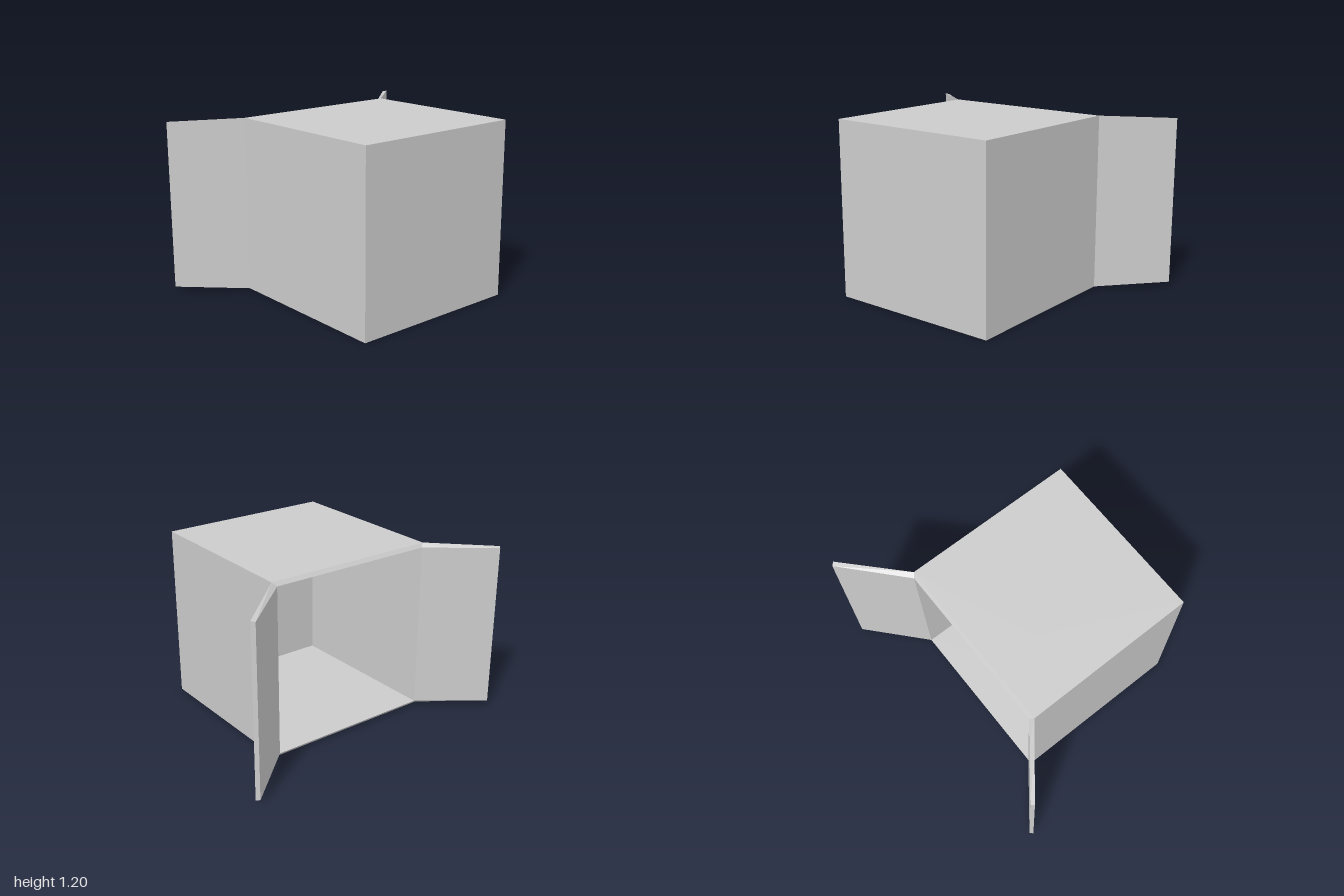
import * as THREE from 'three';

// Box corners: sx, sy pick the side; front or back end; outer or inner skin
function corner(sx, sy, front, inner) {
  const t = inner ? 0.025 : 0;
  const x = front ? (sx > 0 ? 0.61 : -0.597) : (sx > 0 ? 0.613 : -0.6);
  const y = front ? (sy > 0 ? 1.207 : 0.003) : (sy > 0 ? 1.2 : 0.01);
  const z = front ? 0.78 - t : inner ? -0.43 : -0.41;
  return new THREE.Vector3(x - sx * t, y - sy * t, z);
}

// Point on a four-cornered skin: corners at (0,0), (1,0), (1,1), (0,1)
function skinPoint([a, b, c, d], [u, v]) {
  const low = a.clone().lerp(b, u);
  const high = d.clone().lerp(c, u);
  return low.lerp(high, v);
}

// Solid shard: a polygon in panel space, spanning the outer and inner skins
function shardGeometry(outer, inner, outline) {
  const pts = outline.map(([u, v]) => new THREE.Vector2(u, v));
  if (THREE.ShapeUtils.isClockWise(pts)) pts.reverse();
  const o = pts.map((p) => skinPoint(outer, [p.x, p.y]));
  const n = pts.map((p) => skinPoint(inner, [p.x, p.y]));
  const tris = [];
  for (const [i, j, k] of THREE.ShapeUtils.triangulateShape(pts, [])) {
    tris.push([o[i], o[j], o[k]], [n[i], n[k], n[j]]);
  }
  o.forEach((p, i) => {
    const j = (i + 1) % o.length;
    tris.push([n[i], n[j], o[j]], [n[i], o[j], p]);
  });
  // Turn the faces outward whichever way the panel's corners run
  const across = outer[1].clone().sub(outer[0]);
  const along = outer[3].clone().sub(outer[0]);
  const middle = [0.5, 0.5];
  const outward = skinPoint(outer, middle).sub(skinPoint(inner, middle));
  const flip = across.cross(along).dot(outward) < 0;
  const points = tris.flatMap(([a, b, c]) => (flip ? [a, c, b] : [a, b, c]));
  const geometry = new THREE.BufferGeometry().setFromPoints(points);
  geometry.computeVertexNormals();
  return geometry;
}

export function createModel() {
  const model = new THREE.Group();
  model.name = 'brokenOpenBox';
  const material = new THREE.MeshStandardMaterial({ color: 0xcccccc, flatShading: true });

  function addPanel(name, outer, inner, shards) {
    const panel = new THREE.Group();
    panel.name = name;
    shards.forEach((outline, i) => {
      const mesh = new THREE.Mesh(shardGeometry(outer, inner, outline), material);
      mesh.name = `${name}Shard${i + 1}`;
      panel.add(mesh);
    });
    model.add(panel);
  }

  // Box panel from four [sx, sy, front] corners
  const addBoxPanel = (name, corners, shards) => addPanel(
    name,
    corners.map((c) => corner(...c, false)),
    corners.map((c) => corner(...c, true)),
    shards,
  );

  // Front wall, cracked straight across
  addBoxPanel('frontWall', [[-1, -1, true], [1, -1, true], [1, 1, true], [-1, 1, true]], [
    [[0, 0], [1, 0], [1, 0.6], [0, 0.6]],
    [[0, 0.6], [1, 0.6], [1, 1], [0, 1]],
  ]);

  // Side walls: u runs back to front, v runs up
  const sideCorners = (sx) => [[sx, -1, false], [sx, -1, true], [sx, 1, true], [sx, 1, false]];
  const knotA = [0.7, 0.61];
  const knotB = [0.16, 0.26];
  addBoxPanel('leftWall', sideCorners(1), [
    [[1, 0.6], [1, 1], [0.63, 1], knotA],
    [[0.63, 1], [0, 1], [0, 0.24], knotB, knotA],
    [[1, 0.6], knotA, knotB, [0.39, 0], [1, 0]],
    [[0.39, 0], knotB, [0, 0.24], [0, 0]],
  ]);
  const knotR = [0.86, 0.6];
  addBoxPanel('rightWall', sideCorners(-1), [
    [[0, 0], [0.71, 0], knotR, [0.525, 1], [0, 1]],
    [knotR, [1, 0.6], [1, 1], [0.525, 1]],
    [[0.71, 0], [1, 0], [1, 0.6], knotR],
  ]);

  // Roof and floor: u runs right to left, v runs back to front
  const flatCorners = (sy) => [[-1, sy, false], [1, sy, false], [1, sy, true], [-1, sy, true]];
  const knotC = [0.34, 0.27];
  const knotD = [0.35, 0.25];
  addBoxPanel('roof', flatCorners(1), [
    [[0, 0.525], [0, 1], [1, 1], [1, 0.63], knotC],
    [[0, 0], [0, 0.525], knotC, knotD, [0.32, 0]],
    [[0.32, 0], knotD, [0.81, 0]],
    [[0.81, 0], knotD, knotC, [1, 0.63], [1, 0]],
  ]);
  const knotF = [0.25, 0.52];
  addBoxPanel('floor', flatCorners(-1), [
    [[0, 0.71], [0, 1], [1, 1], [1, 0.39], knotF],
    [[0, 0], [0, 0.71], knotF, [0.65, 0]],
    [[0.65, 0], knotF, [1, 0.39], [1, 0]],
  ]);

  // Flaps hinged on the open back: u runs hinge to tip, v runs up
  function addFlap(name, sx, outerTip, innerTip, shards) {
    const skin = (inner, [x, z], rise) => [
      corner(sx, -1, false, inner),
      new THREE.Vector3(x, rise, z),
      new THREE.Vector3(x, 1.21 - rise, z),
      corner(sx, 1, false, inner),
    ];
    addPanel(name, skin(false, outerTip, 0.032), skin(true, innerTip, 0.037), shards);
  }
  addFlap('leftFlap', 1, [1, -0.764], [0.98, -0.785], [
    [[0, 0], [1, 0], [1, 0.1], [0, 0.24]],
    [[0, 0.24], [1, 0.1], [1, 1], [0, 1]],
  ]);
  addFlap('rightFlap', -1, [-1, -0.724], [-0.983, -0.745], [
    [[0, 0], [0.49, 0], [0.325, 1], [0, 1]],
    [[0.49, 0], [1, 0], [1, 1], [0.325, 1]],
  ]);

  return model;
}
